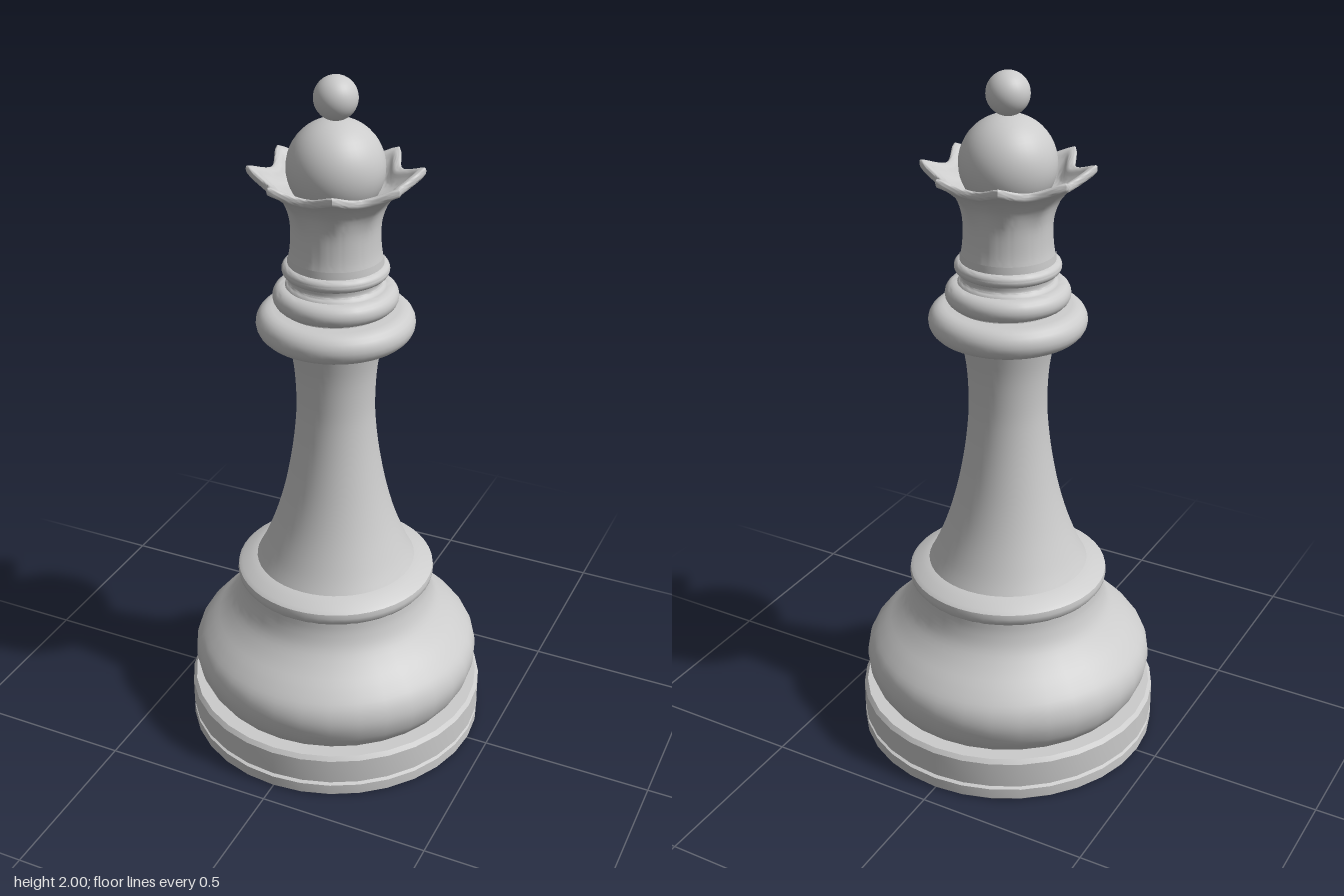
import * as THREE from 'three';
import { toCreasedNormals } from 'three/addons/utils/BufferGeometryUtils.js';

const material = new THREE.MeshStandardMaterial({ color: 0xcccccc });
const vec = (pts) => pts.map(([x, y]) => new THREE.Vector2(x, y));
const smooth = (pts, n) => new THREE.SplineCurve(vec(pts)).getPoints(n);

export function createModel() {
  const group = new THREE.Group();

  const add = (name, geometry) => {
    const mesh = new THREE.Mesh(geometry, material);
    mesh.name = name;
    group.add(mesh);
    return mesh;
  };
  const turn = (name, points, segments = 32) =>
    add(name, toCreasedNormals(new THREE.LatheGeometry(points, segments), 0.6));

  // Ring with a rounded rim between heights y0 and y1
  const ring = (name, y0, y1, radius) => {
    const h = (y1 - y0) / 2;
    const points = vec([[0.09, y0]]);
    for (let i = 0; i <= 10; i++) {
      const a = -Math.PI / 2 + (i / 10) * Math.PI;
      points.push(new THREE.Vector2(radius - h + h * Math.cos(a), y0 + h + h * Math.sin(a)));
    }
    points.push(new THREE.Vector2(0.09, y1));
    turn(name, points, 48);
  };

  // Foot: two stacked discs with a narrow groove between them
  turn('foot', vec([
    [0, 0], [0.435, 0], [0.44, 0.005], [0.44, 0.036], [0.43, 0.04], [0.43, 0.046],
    [0.44, 0.05], [0.44, 0.125], [0.43, 0.137], [0.36, 0.137],
  ]));

  // Bulging body that narrows into a collar
  turn('body', smooth([
    [0.385, 0.135], [0.411, 0.175], [0.425, 0.23], [0.415, 0.28], [0.38, 0.325],
    [0.335, 0.37], [0.3, 0.415], [0.284, 0.46], [0.28, 0.495],
  ], 28));
  turn('collar', vec([
    [0.279, 0.49], [0.288, 0.502], [0.29, 0.515], [0.288, 0.528], [0.278, 0.536],
    [0.255, 0.545], [0.236, 0.555], [0.2, 0.56],
  ]), 48);

  // Slender stem
  turn('stem', smooth([
    [0.238, 0.545], [0.21, 0.6], [0.175, 0.69], [0.147, 0.79], [0.126, 0.9],
    [0.114, 1.0], [0.111, 1.08], [0.117, 1.18], [0.135, 1.275],
  ], 32), 48);

  // Neck rings
  ring('lowerRing', 1.27, 1.358, 0.22);
  ring('middleRing', 1.36, 1.424, 0.173);
  ring('upperRing', 1.452, 1.49, 0.147);
  turn('neck', smooth([[0.15, 1.35], [0.14, 1.42], [0.128, 1.437], [0.132, 1.47], [0.13, 1.51]], 16), 48);

  // Crown: a flared cup whose rim sweeps out and up into eight points.
  // Each entry is radius, height and how strongly the scallops act there.
  const cup = new THREE.CatmullRomCurve3([
    [0.132, 1.485, 0], [0.124, 1.53, 0], [0.122, 1.59, 0], [0.127, 1.635, 0.1],
    [0.145, 1.675, 0.45], [0.17, 1.699, 0.85], [0.186, 1.712, 1], [0.185, 1.724, 1],
    [0.168, 1.722, 0.95], [0.152, 1.702, 0.8], [0.135, 1.685, 0.3], [0.1, 1.675, 0],
  ].map((p) => new THREE.Vector3(...p))).getPoints(44);
  const crown = new THREE.LatheGeometry(cup.map((p) => new THREE.Vector2(p.x, p.y)), 96);
  const position = crown.attributes.position;
  for (let i = 0; i < position.count; i++) {
    const { x: radius, y, z: strength } = cup[i % cup.length];
    const angle = Math.atan2(position.getX(i), position.getZ(i));
    const point = 1.1 - Math.sqrt(Math.cos(4 * angle) ** 2 + 0.01);
    const r = radius + 0.05 * strength * point;
    position.setXYZ(i, r * Math.sin(angle), y + 0.03 * strength * point, r * Math.cos(angle));
  }
  add('crown', toCreasedNormals(crown, 0.9));

  // Dome and the ball on top
  add('dome', new THREE.SphereGeometry(0.132, 40, 24)).position.y = 1.755;
  add('ball', new THREE.SphereGeometry(0.059, 32, 20)).position.y = 1.941;

  return group;
}
